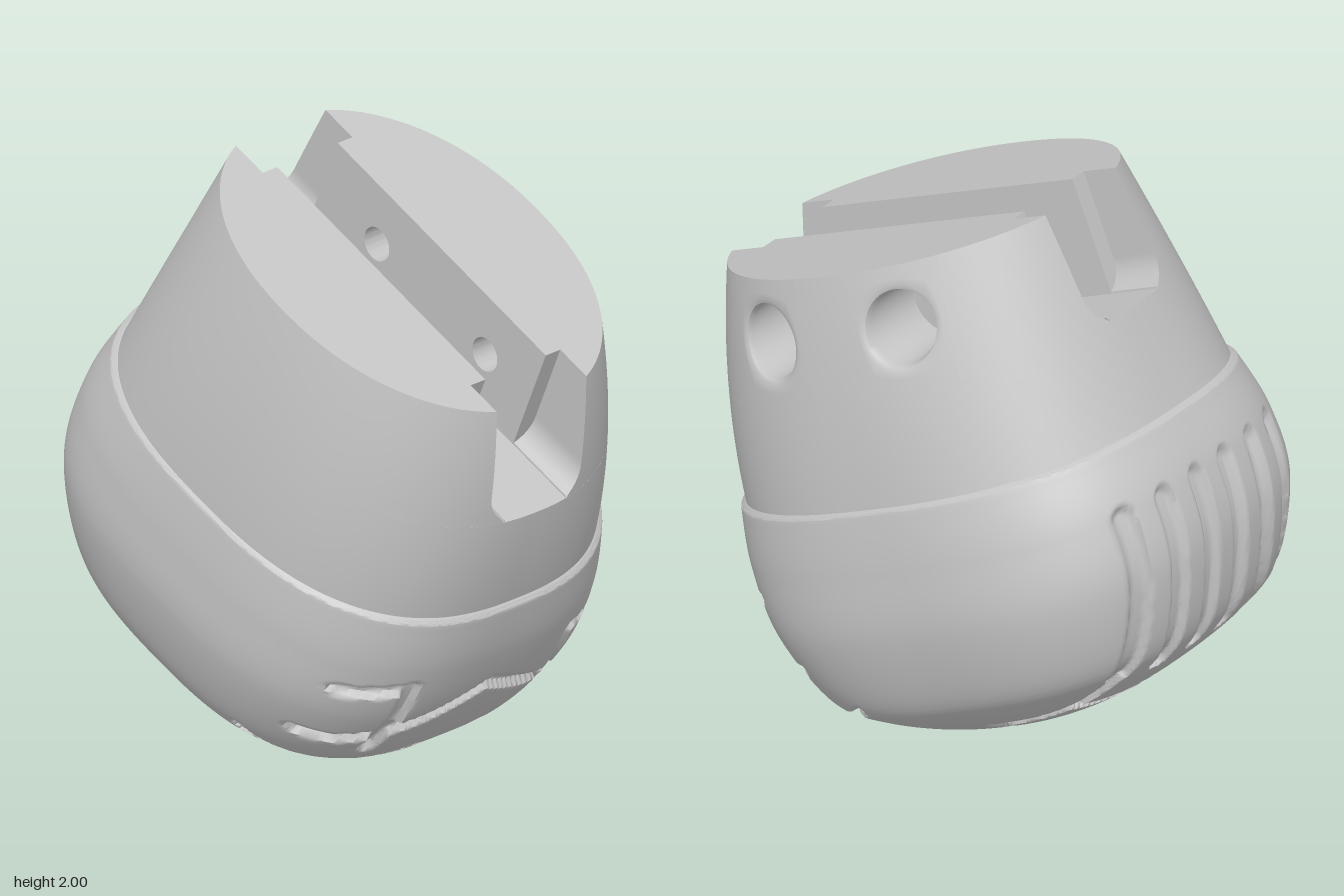
import * as THREE from 'three';
import { mergeGeometries, toCreasedNormals } from 'three/addons/utils/BufferGeometryUtils.js';

const TILT = -0.397, SEAM = 0.95, FLOOR = 1.31, TOP = 1.72;
const SLOT = 0.135, IN_L = -0.94, IN_R = 0.148;
const HOLES = [-0.085, -0.65], HOLE_V = (FLOOR + TOP) / 2, WINDOW = 0.17;
const lerp = THREE.MathUtils.lerp;

// Triangle grid over fn(s, t) -> [x, y, z]
function grid(fn, nu, nv) {
  const pos = [];
  const row = [];
  for (let i = 0; i <= nu; i++) {
    row.push([]);
    for (let j = 0; j <= nv; j++) row[i].push(fn(i / nu, j / nv, j));
  }
  for (let i = 0; i < nu; i++) for (let j = 0; j < nv; j++) {
    const a = row[i][j], b = row[i + 1][j], c = row[i + 1][j + 1], d = row[i][j + 1];
    pos.push(...a, ...b, ...c, ...a, ...c, ...d);
  }
  const g = new THREE.BufferGeometry();
  g.setAttribute('position', new THREE.Float32BufferAttribute(pos, 3));
  return g;
}

function flat(points, holes = []) {
  const shape = new THREE.Shape(points.map(p => new THREE.Vector2(...p)));
  for (const [x, y, r] of holes) shape.holes.push(new THREE.Path().absarc(x, y, r, 0, Math.PI * 2));
  const g = new THREE.ShapeGeometry(shape, 24).toNonIndexed();
  g.deleteAttribute('normal');
  g.deleteAttribute('uv');
  return g;
}

// Superellipse point; angle runs from +x towards the back
function ring(s, a, v) {
  const c = Math.cos(a), w = Math.sin(a);
  const k = Math.pow(Math.abs(c) ** s.n + Math.abs(w) ** s.n, -1 / s.n);
  return [s.c + s.A * k * c, v, -s.b * k * w];
}

// Cross-section of the collar at height v
function collar(v) {
  const t = (v - SEAM) / (TOP - SEAM);
  const l = -1.18 + 0.072 * t - 0.01 * t * t, r = 0.473 - 0.033 * t - 0.118 * t * t;
  return { c: (l + r) / 2, A: (r - l) / 2, b: 0.7 - 0.06 * t - 0.072 * t * t, n: 2.55 - 0.42 * t };
}
const other = (t, n) => Math.pow(Math.max(0, 1 - Math.abs(t) ** n), 1 / n);
const wall = (a, v) => ring(collar(v), a, v);
const angleAt = (u, v) => {
  const s = collar(v), t = (u - s.c) / s.A;
  return Math.atan2(other(t, s.n), t);
};
// Pocket half width, with a rounded bottom
function pocket(v) {
  const r = 0.1, d = THREE.MathUtils.clamp(v - FLOOR, 0, r);
  return Math.max(SLOT, 0.1 + Math.sqrt(r * r - (r - d) ** 2));
}
const endAngle = v => {
  const s = collar(v), w = pocket(v) / s.b;
  return Math.atan2(w, other(w, s.n));
};
// Starts a little under the floor so the joint stays closed
const height = t => lerp(FLOOR - 0.006, TOP, t);

// One half of the collar beside the slot; side -1 is the back, which has the holes
function collarHalf(side) {
  const out = [];
  const strip = (a0, a1, n) => out.push(grid((s, t) => {
    const v = height(t), p = wall(lerp(a0(v), a1(v), s), v);
    return [p[0], p[1], -side * p[2]];
  }, n, 20));
  const left = v => Math.PI - endAngle(v);
  if (side > 0) strip(endAngle, left, 64);
  else {
    const at = u => v => angleAt(u, v);
    strip(endAngle, at(HOLES[0] + WINDOW), 20);
    strip(at(HOLES[0] - WINDOW), at(HOLES[1] + WINDOW), 8);
    strip(at(HOLES[1] - WINDOW), left, 20);
    // Wall around each counterbored hole, and the hole itself
    const path = [[0, 1], [0, 0.66], [0, 0.33], [0.142, 0], [0.128, 0.008], [0.12, 0.03], [0.12, -0.33], [0.06, -0.33], [0.06, -SLOT]];
    for (const uc of HOLES) out.push(grid((s, t, j) => {
      const th = s * Math.PI * 2, c = Math.cos(th), w = Math.sin(th), m = Math.max(Math.abs(c), Math.abs(w));
      let x, y, z = 0;
      if (j < 3) {
        const f = path[j][1];
        x = lerp(0.142 * c, WINDOW * c / m, f);
        y = lerp(0.142 * w, 0.205 * w / m, f);
      } else {
        x = path[j][0] * c; y = path[j][0] * w; z = path[j][1];
      }
      const v = HOLE_V + y, p = wall(angleAt(uc + x, v), v);
      return [uc + x, v, z < 0 ? z : p[2] + z];
    }, 48, path.length - 1));
  }
  // Slot wall
  out.push(flat([[IN_L, FLOOR], [IN_R, FLOOR], [IN_R, TOP], [IN_L, TOP]],
    side < 0 ? HOLES.map(u => [u, HOLE_V, 0.06]) : []).translate(0, 0, side * SLOT));
  // Wider pockets at both ends
  for (const [uIn, ang] of [[IN_R, endAngle], [IN_L, left]]) {
    out.push(grid((s, t) => {
      const v = height(t), p = wall(ang(v), v);
      return [lerp(uIn, p[0], s), v, side * pocket(v)];
    }, 2, 32));
    out.push(grid((s, t) => [uIn, height(t), side * lerp(SLOT, pocket(height(t)), s)], 1, 32));
  }
  // Slanted top face
  const pts = [[IN_L, SLOT], [IN_L, pocket(TOP)]];
  for (let i = 0; i <= 64; i++) {
    const p = wall(lerp(left(TOP), endAngle(TOP), i / 64), TOP);
    pts.push([p[0], -p[2]]);
  }
  pts.push([IN_R, pocket(TOP)], [IN_R, SLOT]);
  out.push(flat(pts.map(p => [p[0], -side * p[1]])).rotateX(-Math.PI / 2).translate(0, TOP, 0));
  return out;
}

// Engraved lines as [distance from the middle, arc length down the end], right and left
const LINES_R = [
  [[0, 0.43], [0.33, 0.59], [0.44, 0.66], [0.58, 0.75]],
  [[0.35, 0.35], [0.35, 0.59], [0.36, 0.72]],
  [[0.35, 0.35], [0.44, 0.37], [0.56, 0.4]],
  [[0, 0.81], [0.15, 0.8], [0.4, 0.9], [0.6, 1.08]],
];
const LINES_L = [
  [[0.08, -0.34], [0.08, 0.2]],
  [[0.245, -0.34], [0.245, 0.22]],
  [[0.41, -0.34], [0.41, 0.5], [0.45, 0.85]],
  [[0.06, 0.42], [0.22, 0.48], [0.41, 0.5]],
  [[0.12, 0.95], [0.2, 0.92], [0.45, 0.85]],
];
function engraving(x, y, z) {
  const arc = 0.8 * Math.atan2(0.75 - y, Math.abs(x));
  let best = 1;
  for (const line of x > 0 ? LINES_R : LINES_L) for (let i = 1; i < line.length; i++) {
    const [ax, ay] = line[i - 1], bx = line[i][0] - ax, by = line[i][1] - ay;
    const px = Math.abs(z) - ax, py = arc - ay;
    const t = THREE.MathUtils.clamp((px * bx + py * by) / (bx * bx + by * by), 0, 1);
    best = Math.min(best, Math.hypot(px - t * bx, py - t * by));
  }
  const w = x < 0 && arc < 0.25 ? 0.034 : 0.024;
  return 0.033 * (1 - THREE.MathUtils.smoothstep(best, w - 0.008, w + 0.008));
}

// Rounded base: rows of height, left, right, half depth, squareness
function baseGeometry() {
  const rows = [
    [-0.024, -0.315, -0.315, 0, 2.1], [0, -0.54, -0.08, 0.24, 2.25], [0.045, -0.735, 0.1, 0.4, 2.45],
    [0.14, -0.955, 0.28, 0.57, 2.65], [0.25, -1.085, 0.39, 0.67, 2.8], [0.5, -1.205, 0.478, 0.74, 2.85],
    [0.73, -1.232, 0.506, 0.738, 2.75], [0.91, -1.205, 0.496, 0.717, 2.6],
    [0.94, -1.192, 0.485, 0.706, 2.57], [0.953, -1.17, 0.462, 0.685, 2.55],
  ];
  const curve = f => new THREE.CatmullRomCurve3(rows.map(f), false, 'catmullrom', 0.5);
  const size = curve(r => new THREE.Vector3(r[1], r[2], r[3]));
  const form = curve(r => new THREE.Vector3(r[0], r[4], 0));
  const cs = Math.cos(TILT), sn = Math.sin(TILT);
  return grid((s, t) => {
    const q = size.getPoint(t), f = form.getPoint(t);
    const a = s * Math.PI * 2;
    const sec = { c: (q.x + q.y) / 2, A: Math.max(0, (q.y - q.x) / 2), b: Math.max(0, q.z), n: f.y };
    const p = ring(sec, a - 0.28 * Math.sin(2 * a), f.x);
    const x = p[0] * cs - p[1] * sn, y = p[0] * sn + p[1] * cs;
    const d = engraving(x, y, p[2]);
    const inward = new THREE.Vector3(-0.35 - p[0], 0.55 - p[1], -p[2]).setLength(d);
    return [p[0] + inward.x, p[1] + inward.y, p[2] + inward.z];
  }, 380, 165);
}

export function createModel() {
  const grey = new THREE.MeshStandardMaterial({ color: 0xc4c4c4, side: THREE.DoubleSide });
  grey.name = 'grey';
  const model = new THREE.Group();
  model.name = 'endCap';
  const add = (name, geos, crease) => {
    const mesh = new THREE.Mesh(toCreasedNormals(mergeGeometries(geos), crease), grey);
    mesh.name = name;
    model.add(mesh);
  };

  add('base', [baseGeometry()], 1.1);

  // Solid lower collar with the slot floor
  const rim = [];
  for (let i = 0; i < 256; i++) {
    const p = wall(i / 256 * Math.PI * 2, FLOOR);
    rim.push([p[0], -p[2]]);
  }
  add('lowerCollar', [
    grid((s, t) => wall(s * Math.PI * 2, lerp(SEAM - 0.02, FLOOR, t)), 256, 16),
    flat(rim).rotateX(-Math.PI / 2).translate(0, FLOOR, 0),
  ], 0.6);
  add('frontCollar', collarHalf(1), 0.6);
  add('backCollar', collarHalf(-1), 0.6);

  model.rotation.z = TILT;
  const root = new THREE.Group();
  root.add(model);
  return root;
}
